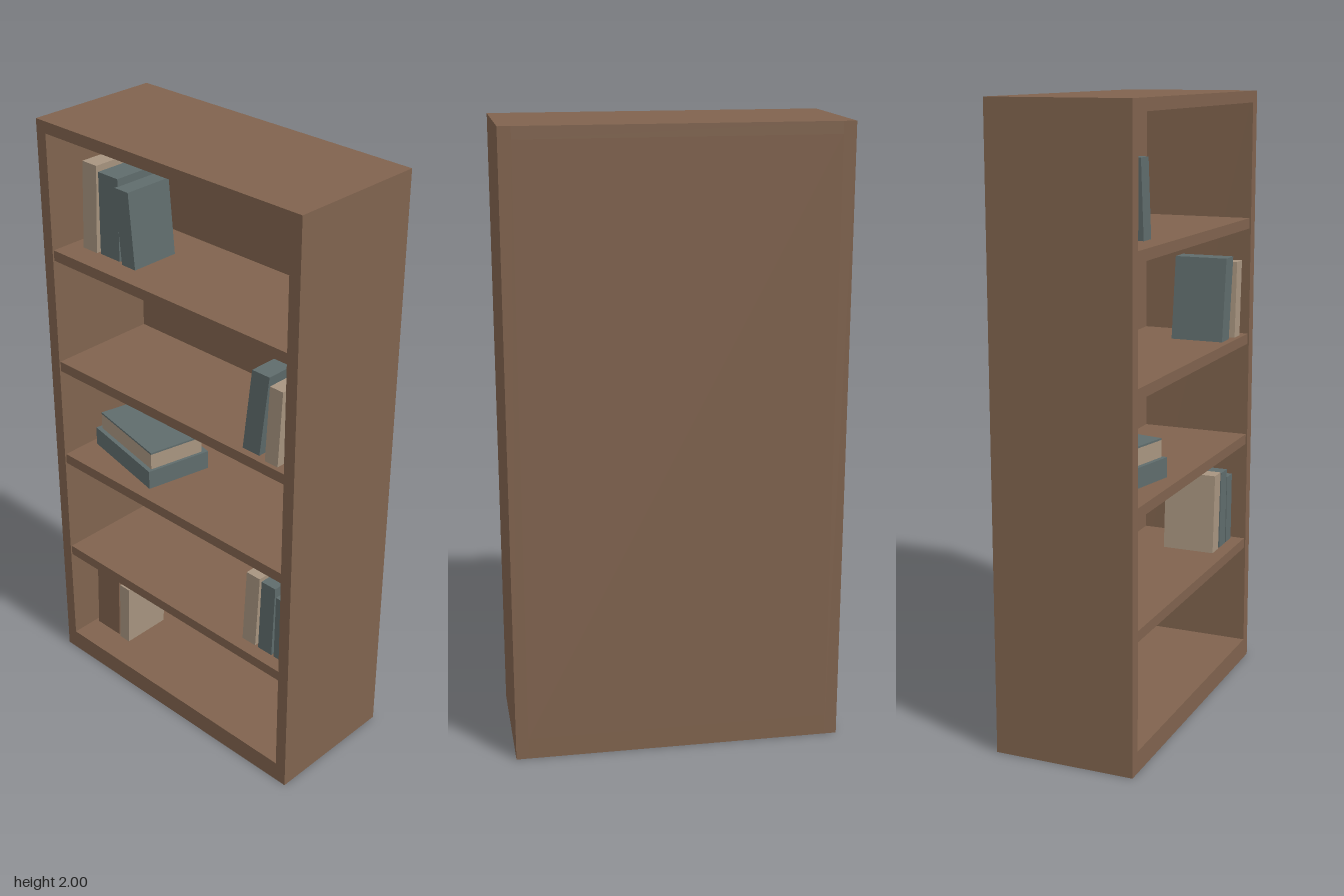
import * as THREE from 'three';

const wood = new THREE.MeshStandardMaterial({ name: 'brownWood', color: 0x80634e });
const grey = new THREE.MeshStandardMaterial({ name: 'greyCover', color: 0x5f6c6c });
const beige = new THREE.MeshStandardMaterial({ name: 'beigeCover', color: 0xa89580 });

// Box from minimum and maximum corners
function board(parent, name, [x0, y0, z0], [x1, y1, z1], material = wood) {
  const mesh = new THREE.Mesh(new THREE.BoxGeometry(x1 - x0, y1 - y0, z1 - z0), material);
  mesh.position.set((x0 + x1) / 2, (y0 + y1) / 2, (z0 + z1) / 2);
  mesh.name = name;
  parent.add(mesh);
  return mesh;
}

// Upright book: a box whose top is shifted sideways by lean
function uprightBook(parent, name, x0, x1, y0, y1, z0, z1, lean, material) {
  const mesh = board(parent, name, [x0, y0, z0], [x1, y1, z1], material);
  const p = mesh.geometry.attributes.position;
  for (let i = 0; i < p.count; i++) if (p.getY(i) > 0) p.setX(i, p.getX(i) + lean);
  mesh.geometry.computeVertexNormals();
}

export function createModel() {
  const model = new THREE.Group();
  model.name = 'bookcase';

  // Cabinet shell
  const cabinet = new THREE.Group();
  cabinet.name = 'cabinet';
  model.add(cabinet);
  board(cabinet, 'rightSide', [-0.53, 0, -0.228], [-0.49, 2, 0.23]);
  board(cabinet, 'leftSide', [0.49, 0, -0.228], [0.53, 2, 0.23]);
  board(cabinet, 'topBoard', [-0.49, 1.962, -0.228], [0.49, 2, 0.23]);
  board(cabinet, 'bottomBoard', [-0.49, 0, -0.228], [0.49, 0.07, 0.23]);
  board(cabinet, 'backPanel', [-0.49, 0.07, -0.228], [0.49, 1.962, -0.15]);

  // Inner shelves, given by their top heights
  const tops = [0.45, 0.83, 1.185, 1.58];
  tops.forEach((y, i) => board(cabinet, `shelf${i + 1}`, [-0.49, y - 0.035, -0.15], [0.49, y, 0.225]));

  // Upright books: x range at the foot, shelf top, book top, z range, lean, cover
  const books = [
    [-0.44, -0.378, 1.58, 1.87, -0.03, 0.145, 0.014, beige],
    [-0.365, -0.28, 1.58, 1.85, -0.03, 0.14, 0.003, grey],
    [-0.258, -0.2, 1.58, 1.825, -0.02, 0.15, -0.022, grey],
    [0.3, 0.367, 1.185, 1.46, 0.02, 0.2, 0.034, grey],
    [0.398, 0.448, 1.185, 1.44, 0.03, 0.21, 0.014, beige],
    [0.29, 0.345, 0.45, 0.72, 0, 0.18, 0.015, beige],
    [0.358, 0.415, 0.45, 0.715, 0, 0.18, 0.01, grey],
    [0.425, 0.475, 0.45, 0.685, 0, 0.18, 0.004, grey],
    [-0.475, -0.365, 0.07, 0.35, -0.05, 0.13, 0.01, wood],
    [-0.355, -0.31, 0.07, 0.305, -0.04, 0.135, 0.01, beige],
  ];
  const bookGroup = new THREE.Group();
  bookGroup.name = 'uprightBooks';
  model.add(bookGroup);
  books.forEach((b, i) => uprightBook(bookGroup, `book${i + 1}`, ...b));

  // Two books lying flat, turned slightly
  const stack = new THREE.Group();
  stack.name = 'flatBooks';
  stack.position.set(-0.275, 0.83, 0.03);
  stack.rotation.y = -0.21;
  model.add(stack);
  board(stack, 'lowerFlatBook', [-0.17, 0, -0.115], [0.17, 0.065, 0.115], grey);
  board(stack, 'upperFlatBook', [-0.155, 0.065, -0.095], [0.16, 0.12, 0.1], beige);
  board(stack, 'upperFlatBookCover', [-0.155, 0.12, -0.095], [0.16, 0.126, 0.1], grey);

  return model;
}
